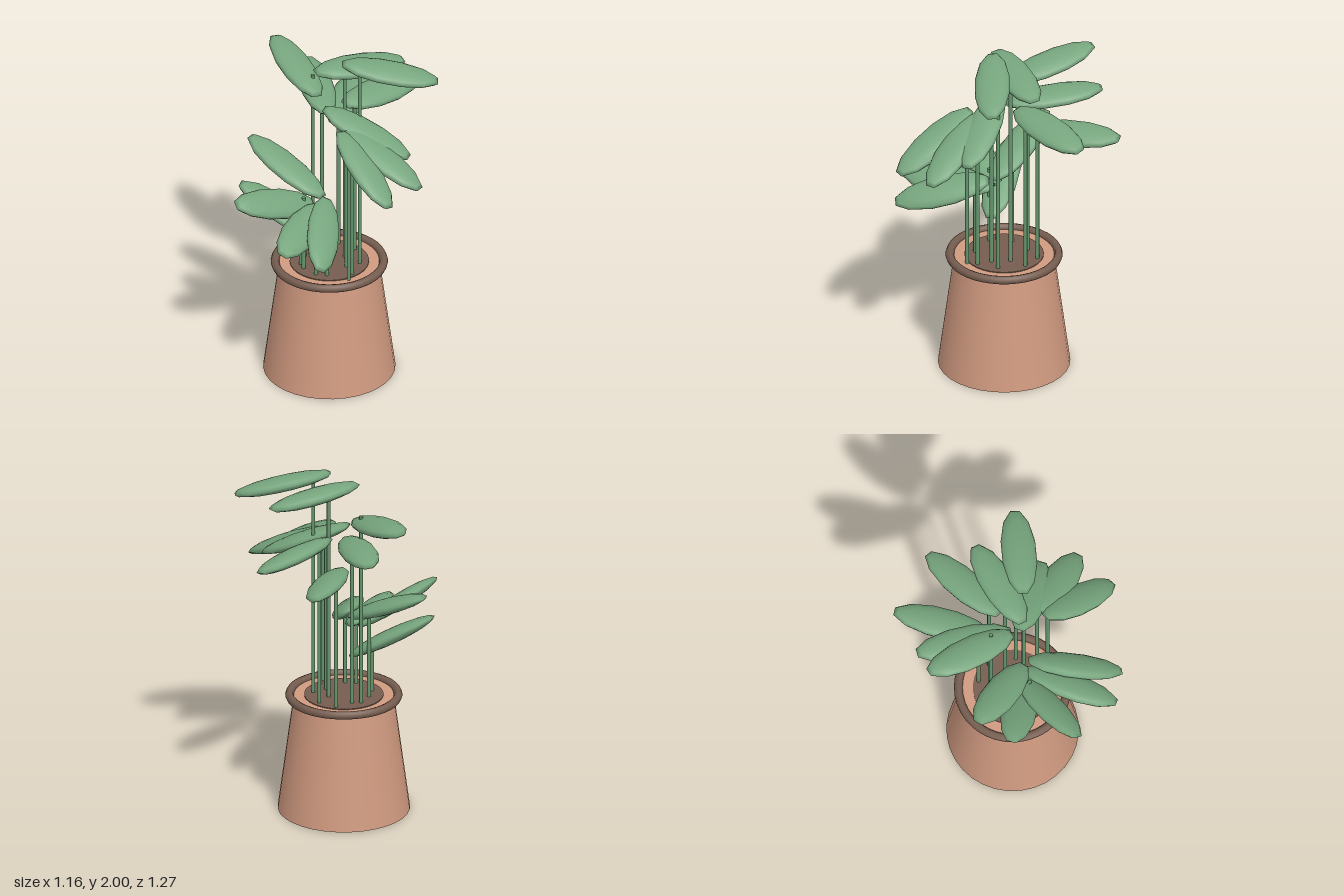
import * as THREE from 'three';

const mat = (name, color) => Object.assign(new THREE.MeshStandardMaterial({ color }), { name });

export function createModel() {
  const plant = new THREE.Group();
  plant.name = 'pottedPlant';
  const terracotta = mat('terracotta', 0xd09a80);
  const brown = mat('darkBrown', 0x765d50);
  const leafGreen = mat('leafGreen', 0x77a67e);
  const stemGreen = mat('stemGreen', 0x65956d);

  const add = (parent, name, geometry, material, x, y, z) => {
    const mesh = new THREE.Mesh(geometry, material);
    mesh.name = name;
    mesh.position.set(x, y, z);
    parent.add(mesh);
    return mesh;
  };

  // Pot: tapered body wider at the foot, rounded rim and soil
  const pot = new THREE.Group();
  pot.name = 'pot';
  pot.position.set(-0.06, 0, 0.02);
  plant.add(pot);
  add(pot, 'potBody', new THREE.CylinderGeometry(0.278, 0.367, 0.675, 32), terracotta, 0, 0.3375, 0);
  add(pot, 'potRim', new THREE.TorusGeometry(0.301, 0.024, 8, 40), brown, 0, 0.676, 0).rotation.x = Math.PI / 2;
  add(pot, 'soil', new THREE.CylinderGeometry(0.22, 0.22, 0.008, 32), brown, 0, 0.676, 0);

  // Leaf: flattened ellipsoid with blunt ends, long along x
  const leafShape = new THREE.SphereGeometry(1, 12, 8, Math.PI / 12).scale(0.282, 0.042, 0.1);

  // Each leaf: centre x, y, z, heading x, z, fall per unit x; then its stem x, z, top
  const leaves = [
    [-0.345, 1.785, -0.10, -0.23, -0.15, 0.24, -0.203, -0.043, 1.80],
    [-0.26, 1.645, -0.18, -0.17, -0.19, 0.13, -0.16, -0.07, 1.63],
    [-0.165, 1.50, -0.365, -0.06, -0.265, 0.27, -0.11, -0.165, 1.49],
    [0.055, 1.62, -0.34, 0.08, -0.26, 0.28, 0.0, -0.155, 1.61],
    [0.05, 1.895, -0.12, 0.15, -0.22, 0.17, -0.005, -0.055, 1.89],
    [0.26, 1.925, -0.10, 0.23, -0.14, 0.26, 0.10, -0.04, 1.95],
    [0.175, 1.57, 0.015, 0.24, -0.05, 0.45, 0.057, 0.03, 1.62],
    [0.33, 1.495, 0.10, 0.25, 0.01, 0.48, 0.122, 0.08, 1.49],
    [0.30, 1.49, 0.25, 0.22, 0.10, 0.60, 0.135, 0.14, 1.49],
    [0.085, 1.05, 0.335, 0.11, 0.225, 0.72, 0.01, 0.165, 1.09],
    [-0.035, 1.055, 0.365, 0.03, 0.26, 0.50, -0.047, 0.188, 1.06],
    [-0.23, 1.15, 0.33, -0.10, 0.21, 0.70, -0.14, 0.165, 1.135],
    [-0.28, 1.015, 0.17, -0.21, 0.06, 0.60, -0.175, 0.135, 0.95],
    [-0.305, 1.235, 0.07, -0.25, -0.02, 0.45, -0.20, 0.055, 1.19],
  ];
  leaves.forEach(([x, y, z, hx, hz, fall, sx, sz, top], i) => {
    const tilt = Math.atan(fall);
    const leaf = add(plant, `leaf${i + 1}`, leafShape, leafGreen, x, y, z);
    // Turn towards the heading, then tip the whole leaf down towards +x
    leaf.rotation.order = 'ZYX';
    leaf.rotation.set(0, Math.atan2(-hz, hx / Math.cos(tilt)), -tilt);
    const height = top - 0.6;
    add(plant, `stem${i + 1}`, new THREE.CylinderGeometry(0.011, 0.011, height, 10), stemGreen, sx, 0.6 + height / 2, sz);
  });
  return plant;
}
